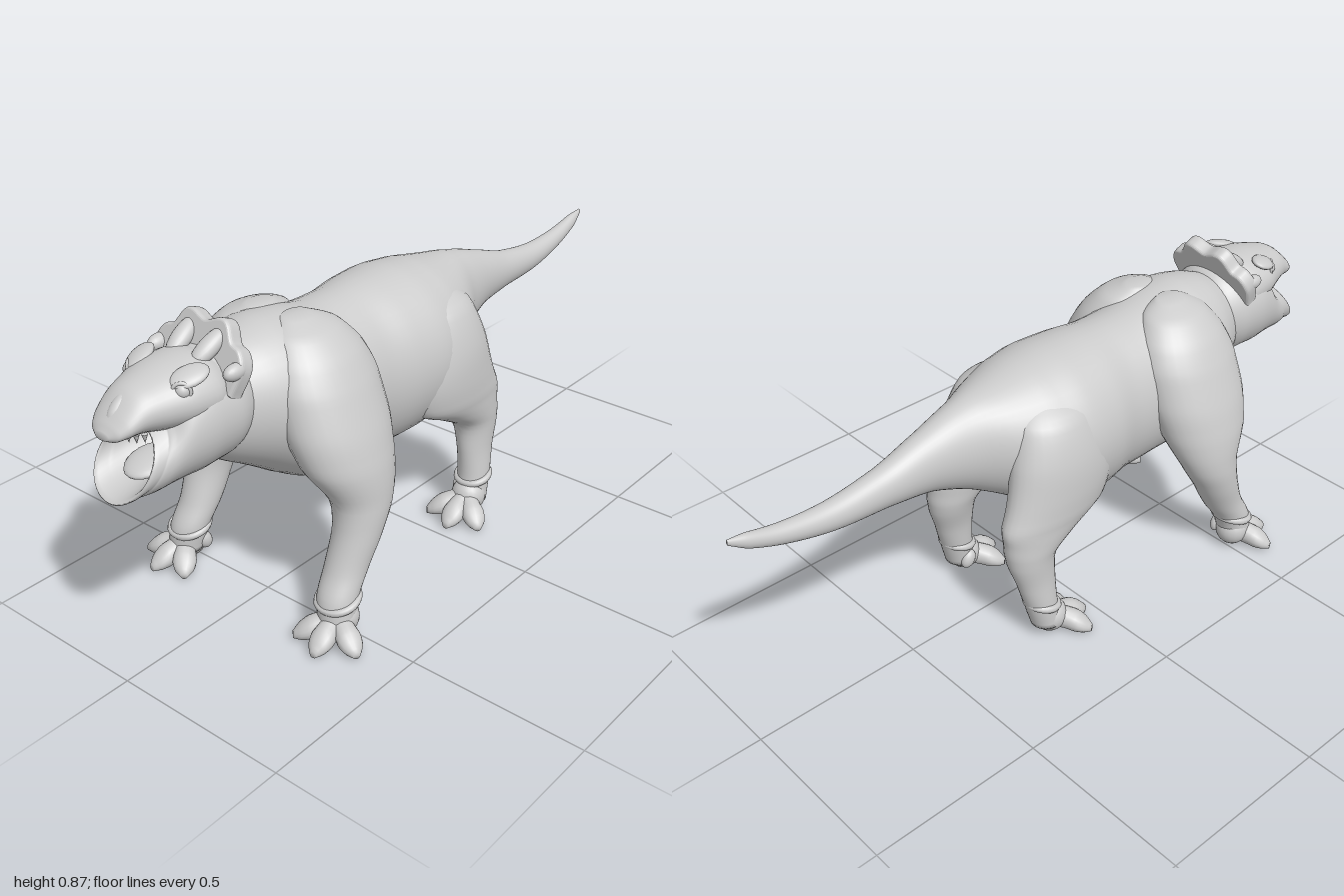
import * as THREE from 'three';

const material = new THREE.MeshStandardMaterial({ color: 0xcccccc });

// Smooth skin over elliptical rings [x, y, z, a, b, tilt].
// axis 'z': rings stand upright, listed back to front. axis 'y': rings lie flat, listed top to bottom.
function loft(rows, axis = 'z', sides = 32, steps = 5) {
  const centers = new THREE.CatmullRomCurve3(rows.map(r => new THREE.Vector3(r[0], r[1], r[2])));
  const sizes = new THREE.CatmullRomCurve3(rows.map(r => new THREE.Vector3(r[3], r[4], r[5] || 0)));
  const n = (rows.length - 1) * steps, pos = [], idx = [];
  for (let i = 0; i <= n; i++) {
    const c = centers.getPoint(i / n), s = sizes.getPoint(i / n);
    for (let j = 0; j < sides; j++) {
      const t = j / sides * Math.PI * 2, u = Math.cos(t), v = Math.sin(t);
      if (axis === 'z') pos.push(c.x + s.x * u, c.y + s.y * v, c.z + s.z * v);
      else pos.push(c.x + s.x * u, c.y + s.z * v, c.z + s.y * v);
      if (i < n) {
        const a = i * sides + j, b = i * sides + (j + 1) % sides;
        idx.push(a, b, a + sides, b, b + sides, a + sides);
      }
    }
  }
  // close both ends
  const first = pos.length / 3, last = n * sides;
  pos.push(...centers.getPoint(0).toArray(), ...centers.getPoint(1).toArray());
  for (let j = 0; j < sides; j++) {
    const k = (j + 1) % sides;
    idx.push(first, k, j, first + 1, last + j, last + k);
  }
  const g = new THREE.BufferGeometry();
  g.setAttribute('position', new THREE.Float32BufferAttribute(pos, 3));
  g.setIndex(idx);
  g.computeVertexNormals();
  return g;
}

function add(parent, name, geometry, p = [0, 0, 0], r = [0, 0, 0], s = [1, 1, 1]) {
  const m = new THREE.Mesh(geometry, material);
  m.name = name;
  m.position.set(...p);
  m.rotation.set(...r);
  m.scale.set(...s);
  parent.add(m);
  return m;
}

const ball = new THREE.SphereGeometry(1, 20, 14);

// One clawed toe pointing along +z, resting on y = 0
const toe = loft([
  [0, 0.055, -0.03, 0.02, 0.03], [0, 0.05, 0.0, 0.034, 0.042], [0, 0.04, 0.035, 0.03, 0.034],
  [0, 0.031, 0.07, 0.033, 0.031], [0, 0.022, 0.095, 0.027, 0.022], [0, 0.012, 0.115, 0.01, 0.01],
], 'z', 16, 3);

function foot(parent, name, x, z, side, angles, scale) {
  const g = new THREE.Group();
  g.name = name;
  g.position.set(side * x, 0, z);
  angles.forEach(a => add(g, 'toe', toe, [0, 0, 0], [0, side * a, 0], [scale, scale, scale]));
  add(g, 'heel', ball, [0, 0.055, -0.012], [0, 0, 0], [0.05, 0.052, 0.05]);
  add(g, 'dewclaw', ball, [-side * 0.045, 0.06, -0.03], [0.5, 0, 0], [0.018, 0.03, 0.022]);
  parent.add(g);
}

// Wrinkled skin fold round the ankle
function ankleFold(parent, x, y, z, r) {
  add(parent, 'ankleFold', new THREE.TorusGeometry(r, 0.011, 8, 28), [x, y, z], [Math.PI / 2 + 0.25, 0, 0]);
}

export function createModel() {
  const model = new THREE.Group();
  model.name = 'reptile';

  // Tail, trunk and neck in one skin
  add(model, 'body', loft([
    [0, 0.652, -1.0, 0.005, 0.008], [0, 0.632, -0.95, 0.017, 0.022], [0, 0.605, -0.86, 0.026, 0.029],
    [0, 0.585, -0.72, 0.036, 0.041], [0, 0.592, -0.56, 0.046, 0.058], [0, 0.606, -0.42, 0.064, 0.09],
    [0, 0.6, -0.3, 0.095, 0.133], [0, 0.58, -0.2, 0.155, 0.172], [0, 0.555, -0.1, 0.205, 0.217],
    [0, 0.542, 0.0, 0.225, 0.24], [0, 0.538, 0.1, 0.213, 0.243], [0, 0.538, 0.2, 0.19, 0.237],
    [0, 0.542, 0.3, 0.193, 0.235], [0, 0.56, 0.4, 0.205, 0.24], [0, 0.593, 0.5, 0.195, 0.217],
    [0, 0.613, 0.58, 0.165, 0.183], [0, 0.622, 0.66, 0.12, 0.143], [0, 0.63, 0.73, 0.08, 0.1],
  ], 'z', 44));

  for (const s of [-1, 1]) {
    const side = s > 0 ? 'left' : 'right';
    // Front leg with shoulder
    add(model, side + 'FrontLeg', loft([
      [s * 0.06, 0.805, 0.42, 0.03, 0.04], [s * 0.085, 0.775, 0.415, 0.075, 0.1],
      [s * 0.115, 0.72, 0.412, 0.1, 0.14], [s * 0.145, 0.65, 0.413, 0.11, 0.16],
      [s * 0.18, 0.56, 0.415, 0.112, 0.16], [s * 0.217, 0.46, 0.415, 0.105, 0.14],
      [s * 0.256, 0.36, 0.408, 0.077, 0.092], [s * 0.267, 0.28, 0.432, 0.065, 0.072],
      [s * 0.265, 0.18, 0.478, 0.057, 0.061], [s * 0.27, 0.11, 0.52, 0.054, 0.056],
      [s * 0.278, 0.04, 0.535, 0.05, 0.048],
    ], 'y'));
    ankleFold(model, s * 0.272, 0.105, 0.522, 0.053);
    foot(model, side + 'FrontFoot', 0.28, 0.535, s, [1.15, 0.15, -0.75], 1);

    // Hind leg with thigh
    add(model, side + 'HindLeg', loft([
      [s * 0.08, 0.725, -0.08, 0.03, 0.05], [s * 0.11, 0.67, -0.08, 0.085, 0.12],
      [s * 0.14, 0.57, -0.08, 0.093, 0.155], [s * 0.155, 0.48, -0.085, 0.087, 0.173],
      [s * 0.162, 0.4, -0.115, 0.077, 0.175], [s * 0.165, 0.345, -0.165, 0.067, 0.125],
      [s * 0.168, 0.29, -0.205, 0.058, 0.08], [s * 0.178, 0.2, -0.198, 0.046, 0.061],
      [s * 0.185, 0.12, -0.187, 0.046, 0.05], [s * 0.19, 0.04, -0.17, 0.045, 0.045],
    ], 'y'));
    ankleFold(model, s * 0.186, 0.112, -0.183, 0.046);
    foot(model, side + 'HindFoot', 0.19, -0.145, s, [0.95, 0.1, -0.8], 1);
  }

  const head = new THREE.Group();
  head.name = 'head';
  model.add(head);

  // Skull and lower jaw; the last rings fold inward to hollow the mouth
  add(head, 'skullAndJaw', loft([
    [0, 0.65, 0.59, 0.07, 0.08], [0, 0.655, 0.63, 0.12, 0.125], [0, 0.655, 0.69, 0.139, 0.145],
    [0, 0.653, 0.76, 0.138, 0.147], [0, 0.64, 0.83, 0.124, 0.132, -0.02], [0, 0.612, 0.88, 0.108, 0.105, -0.045],
    [0, 0.603, 0.906, 0.097, 0.089, -0.055], [0, 0.603, 0.906, 0.084, 0.074, -0.052],
    [0, 0.608, 0.86, 0.076, 0.064, -0.035], [0, 0.615, 0.79, 0.06, 0.05], [0, 0.615, 0.76, 0.02, 0.02],
  ], 'z', 40));

  // Upper jaw with hooked beak
  add(head, 'snout', loft([
    [0, 0.71, 0.68, 0.1, 0.08], [0, 0.718, 0.74, 0.125, 0.09], [0, 0.724, 0.81, 0.119, 0.081],
    [0, 0.724, 0.87, 0.096, 0.068], [0, 0.722, 0.92, 0.077, 0.054], [0, 0.706, 0.962, 0.063, 0.034],
    [0, 0.694, 0.985, 0.046, 0.022], [0, 0.688, 0.999, 0.02, 0.009],
  ], 'z', 36));
  add(head, 'noseRidge', ball, [0, 0.735, 0.925], [0.55, 0, 0], [0.025, 0.032, 0.058]);
  add(head, 'tongue', ball, [0, 0.568, 0.87], [0.25, 0, 0], [0.055, 0.018, 0.065]);

  // Upper teeth
  for (let i = -3; i <= 3; i++) {
    const a = i * 0.33;
    add(head, 'tooth', new THREE.ConeGeometry(0.008, 0.024, 8),
      [Math.sin(a) * 0.058, 0.664, 0.885 + Math.cos(a) * 0.055], [Math.PI, 0, 0]);
  }

  // Scalloped crest swept back over the nape
  const outline = new THREE.Shape();
  outline.moveTo(-0.125, -0.07);
  outline.lineTo(0.125, -0.07);
  outline.splineThru([[0.138, -0.01], [0.122, 0.026], [0.092, 0.04], [0.068, 0.078], [0.045, 0.085],
    [0, 0.07], [-0.045, 0.085], [-0.068, 0.078], [-0.092, 0.04], [-0.122, 0.026], [-0.138, -0.01],
    [-0.125, -0.07]].map(p => new THREE.Vector2(...p)));
  add(head, 'crest', new THREE.ExtrudeGeometry(outline, {
    depth: 0.022, curveSegments: 48, bevelThickness: 0.012, bevelSize: 0.008, bevelSegments: 4,
  }), [0, 0.775, 0.665], [-0.4, 0, 0]);

  for (const s of [-1, 1]) {
    add(head, 'crestRib', ball, [s * 0.045, 0.812, 0.7], [0.55, s * -0.1, 0], [0.026, 0.023, 0.065]);
    add(head, 'brow', ball, [s * 0.083, 0.788, 0.8], [0.25, s * -0.35, s * -0.25], [0.033, 0.014, 0.05]);
    add(head, 'eye', ball, [s * 0.086, 0.763, 0.826], [0, 0, 0], [0.02, 0.02, 0.02]);
    add(head, 'eyelid', new THREE.TorusGeometry(0.021, 0.005, 8, 24), [s * 0.089, 0.763, 0.832], [0, s * 0.75, 0]);
    add(head, 'cheekHorn', ball, [s * 0.128, 0.774, 0.7], [0, 0, s * -0.4], [0.02, 0.022, 0.035]);
    add(head, 'nostril', new THREE.TorusGeometry(0.015, 0.005, 8, 20),
      [s * 0.047, 0.722, 0.948], [-0.5, s * 0.6, s * 0.5], [1.2, 0.7, 1]);
  }
  return model;
}
